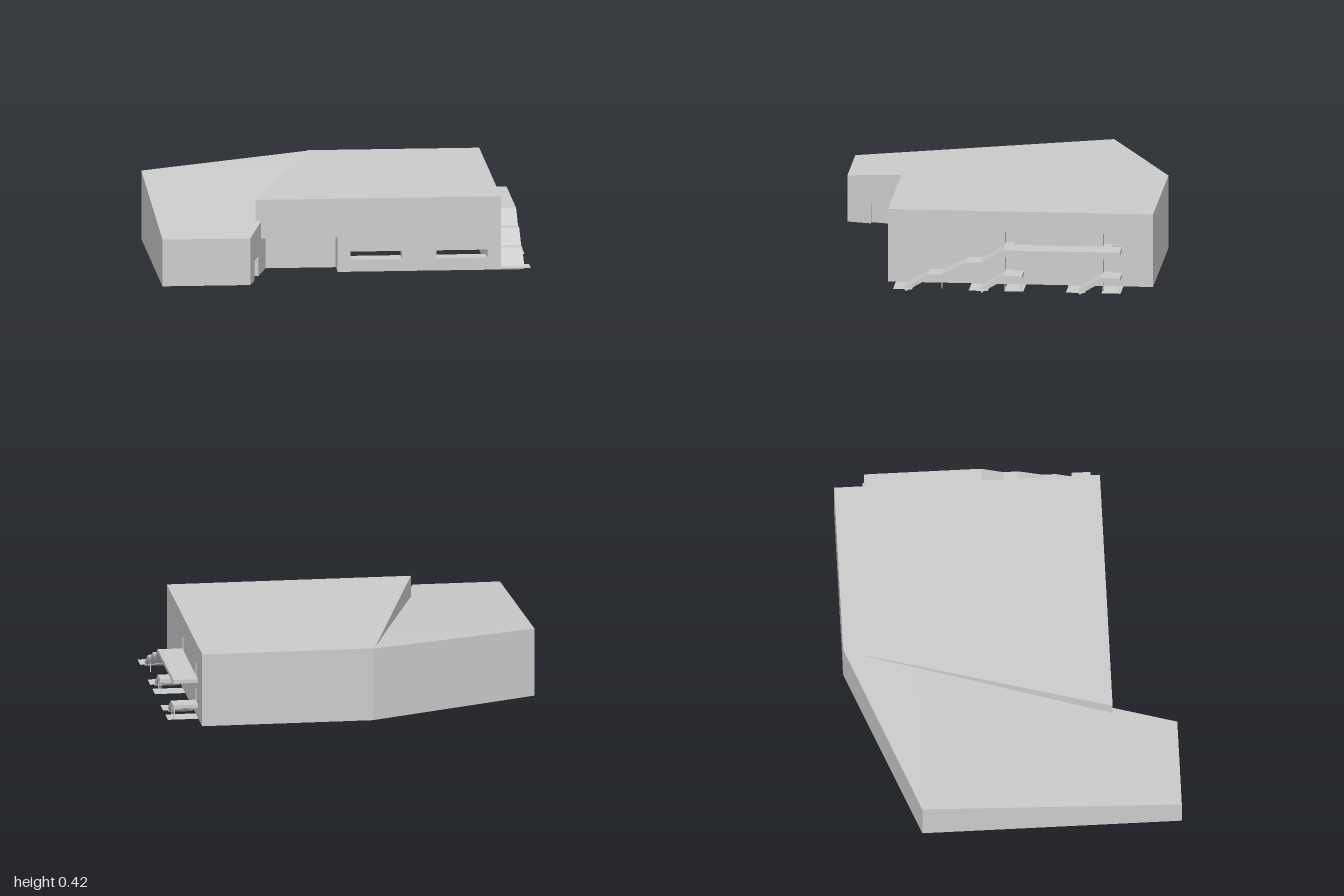
import * as THREE from 'three';

const GROUND = 0.02, SOFFIT = 0.207, ROOF = 0.417;
const FRONT = 0.538, BACK = -0.88, SIDE = 0.837, INNER = 0.768;
const material = new THREE.MeshStandardMaterial({ color: 0xcccccc, side: THREE.DoubleSide });

// The wing roof climbs from the front to a crease at z = -0.505, then on to the hall roof
const wingRoof = (z) => (z > -0.506 ? 0.273 + 0.0848 * (0.88 - z) : 0.39 + 0.066 * (-0.505 - z));

export function createModel() {
  const model = new THREE.Group();

  const group = (name) => {
    const part = new THREE.Group();
    part.name = name;
    model.add(part);
    return part;
  };
  const add = (name, geometry, parent) => {
    const mesh = new THREE.Mesh(geometry, material);
    mesh.name = name;
    parent.add(mesh);
  };
  const shapeOf = (points, holes = []) => {
    const shape = new THREE.Shape(points.map(([x, y]) => new THREE.Vector2(x, y)));
    shape.holes = holes.map((hole) => shapeOf(hole));
    return shape;
  };
  const rectangle = (x0, x1, y0, y1) => [[x0, y0], [x1, y0], [x1, y1], [x0, y1]];
  const box = (x0, x1, y0, y1, z0, z1) =>
    new THREE.BoxGeometry(x1 - x0, y1 - y0, z1 - z0)
      .translate((x0 + x1) / 2, (y0 + y1) / 2, (z0 + z1) / 2);

  // Level surface over a plan of [x, z] points
  const flat = (plan, y, holes = []) => {
    const flip = (points) => points.map(([x, z]) => [x, -z]);
    return new THREE.ShapeGeometry(shapeOf(flip(plan), holes.map(flip)))
      .rotateX(-Math.PI / 2).translate(0, y, 0);
  };
  // Upright panel from plan point a towards b; the outline is [distance from a, height]
  const panel = (a, b, outline, holes) =>
    new THREE.ShapeGeometry(shapeOf(outline, holes))
      .rotateY(-Math.atan2(b[1] - a[1], b[0] - a[0])).translate(a[0], 0, a[1]);
  // Plain wall whose top follows a height rule
  const wall = (a, b, y0, top, holes) => {
    const length = Math.hypot(b[0] - a[0], b[1] - a[1]);
    return panel(a, b, [[0, y0], [length, y0], [length, top(b[1])], [0, top(a[1])]], holes);
  };
  const walls = (name, path, y0, top, parent) => {
    for (let i = 1; i < path.length; i++) add(name, wall(path[i - 1], path[i], y0, top, []), parent);
  };
  const upTo = (y) => () => y;

  // Main hall: roof, outer walls and underside
  const hall = group('hall');
  const tip = [-0.12, -0.77], corner = [-0.08, BACK];
  const room = rectangle(0.03, INNER, -0.75, 0.43);
  const porch = [[-0.41, 0.4], [-0.035, 0.4], [-0.035, FRONT]];
  const windows = [[0.034, 0.308], [0.492, 0.765]];
  const sill = 0.086, lintel = 0.129;

  add('hallRoof', flat([[-0.475, FRONT], [SIDE, FRONT], [SIDE, BACK], corner, tip], ROOF), hall);
  add('hallUnderside', flat(
    [corner, [SIDE, BACK], [SIDE, FRONT], ...porch.slice().reverse(), tip], GROUND, [room]), hall);
  walls('backWall', [[SIDE, BACK], corner], GROUND, upTo(ROOF), hall);
  walls('wallAboveWing', [tip, [-0.475, FRONT]], 0.29, upTo(ROOF), hall);

  // Front wall overhangs the porch on one side and has two slit windows
  const frontOutline = [[-0.475, SOFFIT], [-0.035, SOFFIT], [-0.035, GROUND],
    [SIDE, GROUND], [SIDE, ROOF], [-0.475, ROOF]];
  add('frontWall', panel([0, FRONT], [1, FRONT], frontOutline,
    windows.map(([x0, x1]) => rectangle(x0, x1, sill, lintel))), hall);
  for (const [x0, x1] of windows) {
    for (const x of [x0, x1]) walls('windowJamb', [[x, FRONT], [x, 0.43]], sill, upTo(lintel), hall);
    for (const y of [sill, lintel]) add('windowSill', flat(rectangle(x0, x1, 0.43, FRONT), y), hall);
  }

  // Porch under the overhang
  walls('porchWall', porch, GROUND, upTo(SOFFIT), hall);
  add('porchSoffit', flat([...porch, [-0.444, FRONT]], SOFFIT), hall);

  // Room open underneath, its front wall pierced by the windows
  walls('roomWall', [room[3], room[0], room[1], room[2]], GROUND, upTo(SOFFIT), hall);
  add('roomFrontWall', panel([0, 0.43], [1, 0.43], rectangle(0.03, INNER, GROUND, SOFFIT),
    windows.map(([x0, x1]) => rectangle(x0, x1, sill, lintel))), hall);
  add('roomCeiling', flat(room, SOFFIT), hall);

  // Side wall with recessed upper and lower doorways
  const doorways = [];
  for (const z of [-0.087, -0.613]) {
    for (const [y0, y1] of [[0.235, 0.305], [0.085, 0.165]]) {
      doorways.push(rectangle(FRONT - z, FRONT - z + 0.048, y0, y1));
      const recess = [[SIDE, z], [INNER + 0.002, z], [INNER + 0.002, z - 0.048], [SIDE, z - 0.048]];
      walls('doorwayRecess', recess, y0, upTo(y1), hall);
      for (const y of [y0, y1]) add('doorwayRecess', flat(recess, y), hall);
    }
  }
  add('sideWall', wall([SIDE, FRONT], [SIDE, BACK], GROUND, upTo(ROOF), doorways), hall);

  // Wing with a pitched roof
  const wing = group('wing');
  const rear = [-1, -0.505], crease = [-0.192, -0.505];
  const frontLeft = [-0.53, 0.88], frontRight = [-1, 0.88];
  const entry = [[-0.498, 0.75], [-0.525, 0.75], [-0.494, 0.625], [-0.466, 0.625]];
  const entryTop = 0.127;
  for (const bay of [[rear, frontRight, frontLeft, [-0.444, FRONT], crease], [rear, crease, tip, corner]]) {
    const roof = flat(bay, 0);
    const position = roof.attributes.position;
    for (let i = 0; i < position.count; i++) position.setY(i, wingRoof(position.getZ(i)));
    roof.computeVertexNormals();
    add('wingRoof', roof, wing);
  }
  add('wingUnderside', flat([rear, frontRight, frontLeft, ...entry, porch[0], tip, corner], GROUND), wing);
  walls('wingWall', [corner, rear, frontRight, frontLeft], GROUND, wingRoof, wing);

  // Inner side of the wing, with a shallow entry recess
  add('wingEntryWall', panel(frontLeft, porch[0],
    [[0, GROUND], [0.134, GROUND], [0.134, entryTop], [0.263, entryTop], [0.263, GROUND],
      [0.495, GROUND], [0.495, SOFFIT], [0.353, wingRoof(FRONT)], [0, wingRoof(0.88)]], []), wing);
  walls('entryRecess', entry, GROUND, upTo(entryTop), wing);
  add('entryRecess', flat(entry, entryTop), wing);

  // Outside stairs: each is a folded ribbon of ramps and landings
  const stairs = group('outsideStairs');
  const flights = [
    [[0.44, 0.02], [0.31, 0.095], [0.24, 0.095], [0.11, 0.165], [0.03, 0.165], [-0.09, 0.235], [-0.715, 0.235]],
    [[0.035, 0.02], [-0.09, 0.095], [-0.19, 0.095]],
    [[-0.49, 0.02], [-0.615, 0.095], [-0.715, 0.095]],
  ];
  for (const top of flights) {
    const end = top.length - 1;
    const underside = top.map(([z, y], i) => [i < end ? z - 0.008 : z, y - 0.02]).reverse();
    const profile = shapeOf([...top, ...underside].map(([z, y]) => [-z, y]));
    add('stairFlight', new THREE.ExtrudeGeometry(profile, { depth: 0.97 - SIDE, bevelEnabled: false })
      .rotateY(Math.PI / 2).translate(SIDE, 0, 0), stairs);
  }

  // Thin posts under the landings
  for (const z of [0.238, -0.1, -0.187, -0.625, -0.712]) {
    add('landingPost', box(0.962, 0.968, GROUND, 0.08, z - 0.003, z + 0.003), stairs);
  }

  // Thin pads at the foot of each stair and under the low landings
  for (const z of [0.445, 0.04, -0.15, -0.48, -0.67]) {
    add('groundPad', box(SIDE, 1, GROUND - 0.002, GROUND, z - 0.051, z + 0.051), stairs);
  }
  return model;
}
